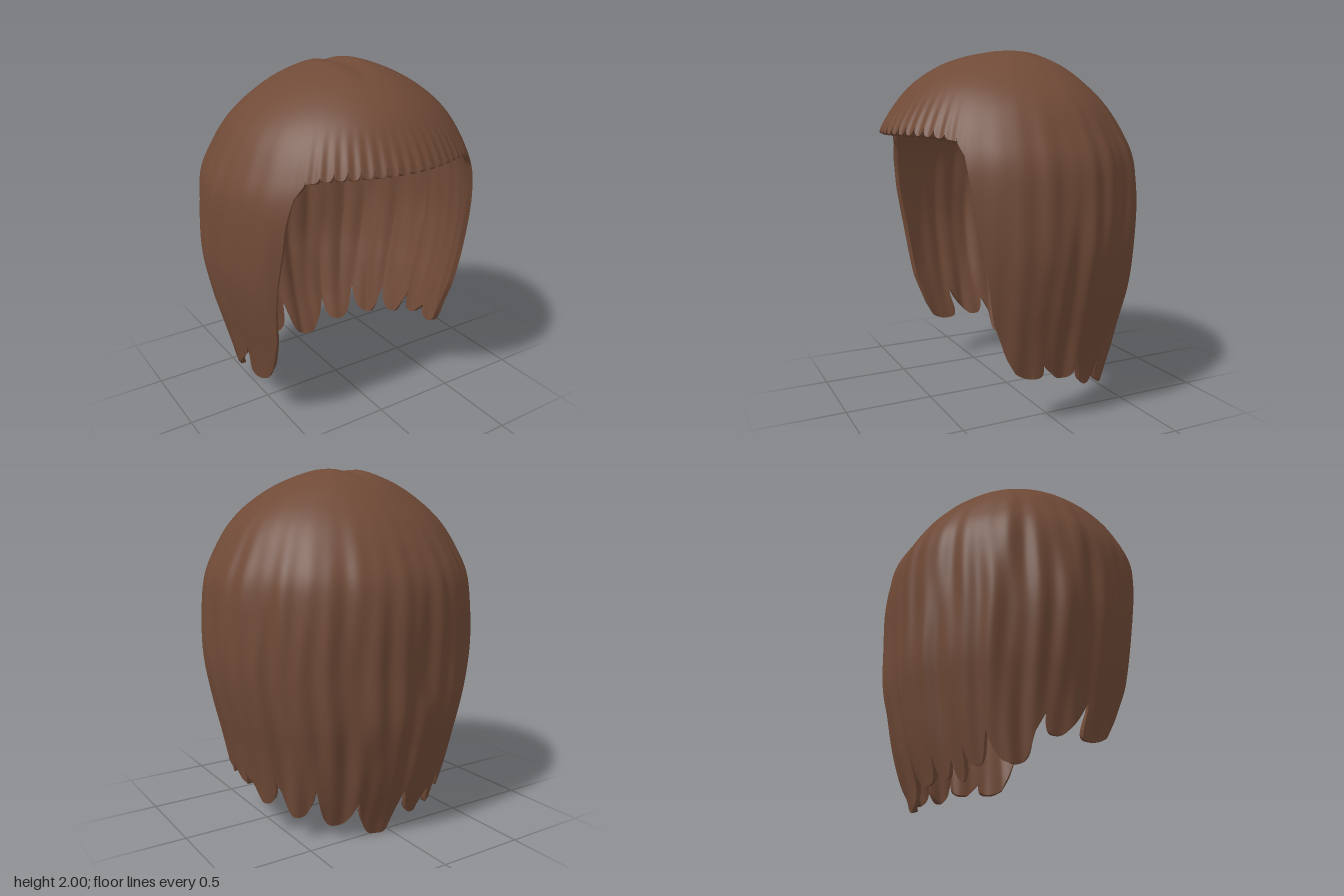
import * as THREE from 'three';

const { lerp, smoothstep, degToRad } = THREE.MathUtils;

// Profile from crown to tips: height, half width, front depth, back depth
const PROFILE = [
  [2.0, 0, 0, 0], [1.998, 0.13, 0.16, 0.13], [1.925, 0.33, 0.38, 0.3], [1.82, 0.5, 0.545, 0.43],
  [1.7, 0.625, 0.65, 0.545], [1.55, 0.715, 0.735, 0.645], [1.4, 0.775, 0.775, 0.71], [1.2, 0.795, 0.78, 0.73],
  [0.95, 0.795, 0.74, 0.72], [0.7, 0.75, 0.72, 0.71], [0.5, 0.7, 0.7, 0.67], [0.3, 0.655, 0.68, 0.62],
  [0.1, 0.62, 0.66, 0.55], [0, 0.6, 0.64, 0.52],
];
const LAST = PROFILE.length - 1;
const spline = (col) => new THREE.CatmullRomCurve3(
  PROFILE.map((p) => new THREE.Vector3(p[1], p[0], p[col])), false, 'catmullrom', 0.5);
const frontCurve = spline(2), backCurve = spline(3);

// Half angle of the face opening at each height
const OPENING = [[1.52, 45], [1.45, 48.5], [1.3, 51], [1.0, 53], [0.6, 58], [0.4, 64], [0.28, 70]];

// Hem clumps around the back: notch angle, notch height, tip height up to the next notch
const CLUMPS = [
  [-110, 0.31, 0.27], [-93, 0.47, 0.27], [-76, 0.38, 0.13], [-52, 0.3, 0.13], [-40, 0.24, 0.07],
  [-33, 0.2, 0.09], [-23, 0.22, 0.08], [-5, 0.26, 0], [21, 0.24, 0.08], [42, 0.32, 0.13],
  [62, 0.34, 0.18], [80, 0.36, 0.25], [96, 0.34, 0.27], [110, 0.31, 0.3],
];

function openingAngle(y) {
  if (y >= OPENING[0][0]) return degToRad(OPENING[0][1]);
  for (let i = 1; i < OPENING.length; i++) {
    const [y0, a0] = OPENING[i - 1], [y1, a1] = OPENING[i];
    if (y >= y1) return degToRad(lerp(a0, a1, (y0 - y) / (y0 - y1)));
  }
  return degToRad(70);
}

// Rounded tips separated by sharp notches
function curtainHem(v) {
  const a = (0.5 - v) * 220;
  let i = 0;
  while (i < CLUMPS.length - 2 && a > CLUMPS[i + 1][0]) i++;
  const [a0, n0, tip] = CLUMPS[i], [a1, n1] = CLUMPS[i + 1];
  const t = ((a - a0) / (a1 - a0)) * 2 - 1;
  return tip + ((t < 0 ? n0 : n1) - tip) * Math.abs(t) ** 3;
}

const SCALLOPS = 17;
function fringeHem(v) {
  const t = Math.abs(((v * SCALLOPS) % 1) * 2 - 1);
  const side = Math.abs(v * 2 - 1);
  return 1.545 - 0.025 * side ** 4 + 0.045 * t ** 3 * (1 - side ** 6);
}

// Point on the hair at an angle from the front and a step down the profile
function surface(phi, k) {
  const t = Math.min(Math.max(k / LAST, 0), 1);
  const f = frontCurve.getPoint(t), b = backCurve.getPoint(t);
  const s = Math.sin(phi), c = Math.cos(phi), y = f.y;
  const drop = 1 - smoothstep(y, 1.0, 1.95);
  const rear = 0.25 + 0.75 * smoothstep(-c, -0.7, 0.2);
  const sway = 0.9 * Math.sin(4.2 * y + 2 * s);
  const locks = 0.5 * Math.sin(23 * phi + sway) + 0.35 * Math.sin(37 * phi + 1.3 - sway)
    + 0.5 * Math.sin(11 * phi + 0.6 + 0.5 * sway);
  const strands = 0.006 * smoothstep(c, 0.6, 0.8) * (1 - smoothstep(y, 1.54, 1.8))
    * Math.cos(phi * 4 * SCALLOPS + Math.PI);
  const wave = 1 + 0.02 * drop * rear * locks + strands;
  const x = f.x * s * wave;
  const dip = 0.018 * Math.exp(-((x / 0.06) ** 2)) * smoothstep(y, 1.93, 1.995);
  return new THREE.Vector3(x, y - dip, (c > 0 ? f.z : b.z) * c * wave);
}

function surfaceNormal(phi, k) {
  if (k < 0.01) return new THREE.Vector3(0, 1, 0);
  const e = 0.004;
  const du = surface(phi + e, k).sub(surface(phi - e, k));
  const dk = surface(phi, k + e).sub(surface(phi, k - e));
  return dk.cross(du).normalize();
}

// Profile step at a given height
function stepAt(y) {
  let lo = 0, hi = LAST;
  for (let i = 0; i < 24; i++) {
    const mid = (lo + hi) / 2;
    if (frontCurve.getPoint(mid / LAST).y > y) lo = mid; else hi = mid;
  }
  return hi;
}

const THICKNESS = 0.028;
const insidePoint = (phi, k) =>
  surface(phi, k).addScaledVector(surfaceNormal(phi, k), -THICKNESS);

// Sheet of hair: locate(v, w) gives angle and step; inside turns it inward
function sheet(locate, cols, rows, inside) {
  const pos = [], nor = [], idx = [];
  for (let j = 0; j <= rows; j++) {
    for (let i = 0; i <= cols; i++) {
      const [phi, k] = locate(i / cols, j / rows);
      const n = surfaceNormal(phi, k);
      const p = surface(phi, k);
      if (inside) { p.addScaledVector(n, -THICKNESS); n.negate(); }
      pos.push(p.x, p.y, p.z);
      nor.push(n.x, n.y, n.z);
      if (i < cols && j < rows) {
        const a = j * (cols + 1) + i, b = a + 1, c = a + cols + 1, d = c + 1;
        if (inside) idx.push(a, b, c, b, d, c);
        else idx.push(a, c, b, b, c, d);
      }
    }
  }
  const g = new THREE.BufferGeometry();
  g.setAttribute('position', new THREE.Float32BufferAttribute(pos, 3));
  g.setAttribute('normal', new THREE.Float32BufferAttribute(nor, 3));
  g.setIndex(idx);
  return g;
}

// Strip joining outer and inner sheets along the cut edge
function rim(path) {
  const pos = [], idx = [];
  path.forEach(([phi, k], i) => {
    const o = surface(phi, k), n = insidePoint(phi, k);
    pos.push(o.x, o.y, o.z, n.x, n.y, n.z);
    const a = i * 2;
    if (i < path.length - 1) idx.push(a, a + 1, a + 2, a + 1, a + 3, a + 2);
  });
  const g = new THREE.BufferGeometry();
  g.setAttribute('position', new THREE.Float32BufferAttribute(pos, 3));
  g.setIndex(idx);
  g.computeVertexNormals();
  return g;
}

export function createModel() {
  const hair = new THREE.MeshStandardMaterial({ color: 0x704a37 });
  hair.name = 'brown hair';
  const model = new THREE.Group();
  model.name = 'hair';
  const add = (name, geometry) => {
    const mesh = new THREE.Mesh(geometry, hair);
    mesh.name = name;
    model.add(mesh);
  };

  const cached = (hem) => {
    const memo = new Map();
    return (v) => {
      if (!memo.has(v)) memo.set(v, stepAt(hem(v)));
      return memo.get(v);
    };
  };
  const curtainEnd = cached(curtainHem), fringeEnd = cached(fringeHem);

  // Long hair around the sides and back
  const curtain = (v, w) => {
    const k = curtainEnd(v) * w;
    const open = openingAngle(frontCurve.getPoint(k / LAST).y);
    return [lerp(open, 2 * Math.PI - open, v), k];
  };
  // Short scalloped fringe over the forehead
  const fringe = (v, w) => [lerp(-Math.PI / 4, Math.PI / 4, v), fringeEnd(v) * w];

  const C = 330, R = 56, FC = 204, FR = 22;
  add('longHair', sheet(curtain, C, R, false));
  add('longHairInside', sheet(curtain, C, R, true));
  add('fringe', sheet(fringe, FC, FR, false));
  add('fringeInside', sheet(fringe, FC, FR, true));

  // Cut edges: down one side, along the hem, up the other side, then the fringe
  const steps = (n, f) => Array.from({ length: n + 1 }, (_, i) => f(i / n));
  add('longHairEdge', rim([
    ...steps(R, (w) => curtain(0, w)).slice(18),
    ...steps(C, (v) => curtain(v, 1)),
    ...steps(R, (w) => curtain(1, 1 - w)).slice(0, -18),
  ]));
  add('fringeEdge', rim(steps(FC, (v) => fringe(v, 1))));
  return model;
}
